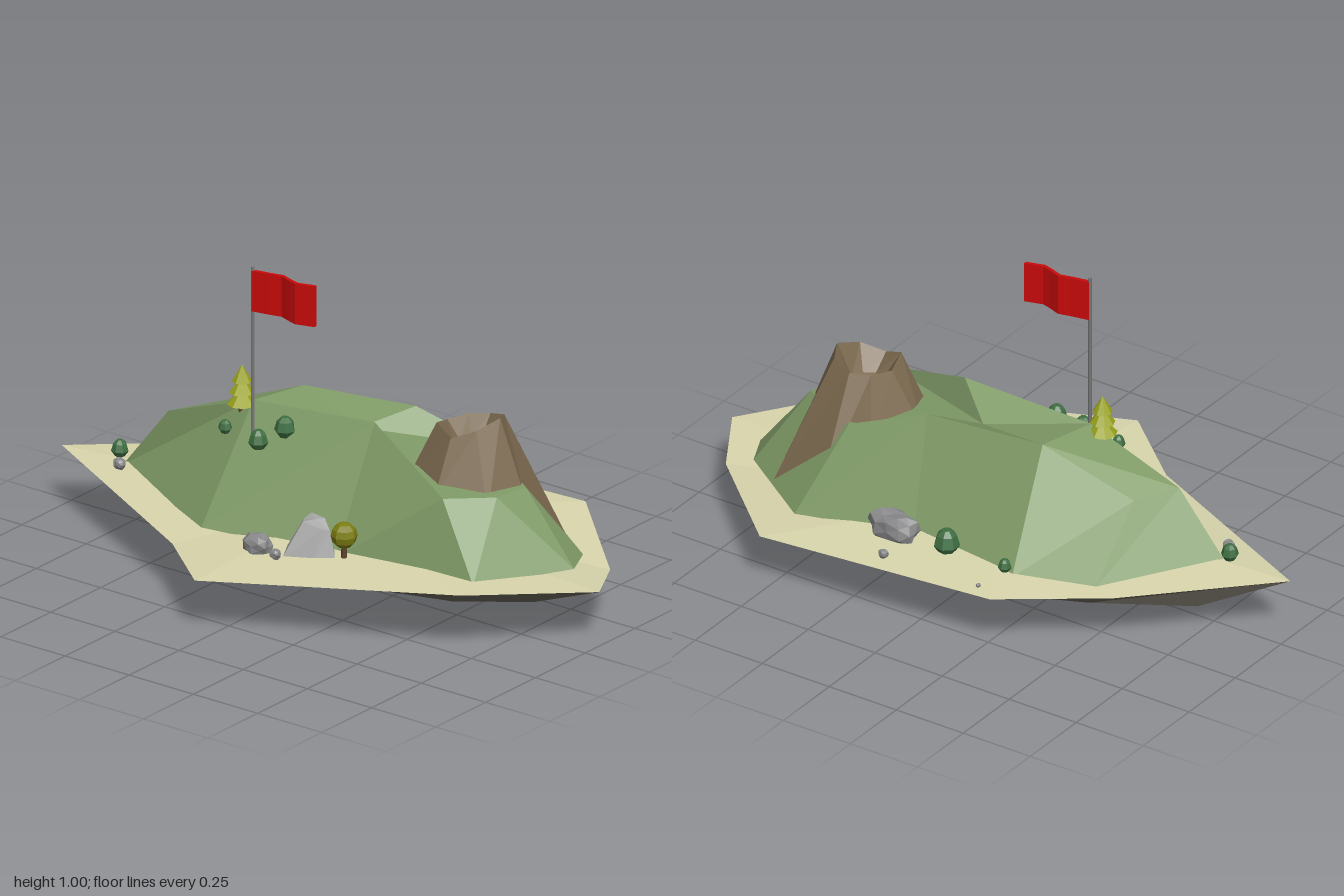
import * as THREE from 'three';

const mat = (color) => new THREE.MeshStandardMaterial({ color, flatShading: true });
const C = {
  earth: mat(0x69665a), sand: mat(0xd8d5ac), grass: mat(0x7f9a66), brown: mat(0x7c6a50),
  stone: mat(0x8a8a8c), paleStone: mat(0xa8a8a8), bush: mat(0x3f6f42), lime: mat(0x9aa31c),
  olive: mat(0x7d7f12), bark: mat(0x5c452e), pole: mat(0x777777), red: mat(0xcc0a0a),
};

function add(parent, name, geo, material, x = 0, y = 0, z = 0) {
  const m = new THREE.Mesh(geo, material);
  m.name = name;
  m.position.set(x, y, z);
  parent.add(m);
  return m;
}

// Faceted surface through a stack of rings (each ring runs left, back, right, front)
function loft(rings, extraTriangles = []) {
  const out = [];
  const tri = (...p) => p.forEach((v) => out.push(...v));
  for (let r = 0; r < rings.length - 1; r++) {
    const b = rings[r], t = rings[r + 1], n = b.length;
    for (let i = 0; i < n; i++) {
      const j = (i + 1) % n;
      tri(b[j], b[i], t[i]);
      tri(b[j], t[i], t[j]);
    }
  }
  extraTriangles.forEach((p) => tri(...p));
  const g = new THREE.BufferGeometry();
  g.setAttribute('position', new THREE.Float32BufferAttribute(out, 3));
  g.computeVertexNormals();
  return g;
}

// Angular boulder: low sphere with a small repeatable dent per corner
function boulder(w, h, d, seed) {
  const g = new THREE.IcosahedronGeometry(1, 1);
  const p = g.attributes.position;
  for (let i = 0; i < p.count; i++) {
    const x = p.getX(i), y = p.getY(i), z = p.getZ(i);
    const k = 0.93 + 0.1 * Math.sin(5 * x + 3 * y + 4 * z + seed);
    p.setXYZ(i, x * k * w, Math.min(y, 0.75) * k * h, z * k * d);
  }
  g.computeVertexNormals();
  return g;
}

export function createModel() {
  const island = new THREE.Group();
  island.name = 'island';

  // Rocky underside and beach
  const shore = [[-1, 0.2, 0.05], [-0.6, 0.19, -0.33], [-0.29, 0.19, -0.55], [0.52, 0.18, -0.62],
    [0.88, 0.155, -0.28], [1, 0.18, -0.07], [0.72, 0.205, 0.26], [-0.04, 0.18, 0.62], [-0.29, 0.17, 0.41]];
  const middle = shore.map(([x, , z]) => [x * 0.72, 0.065, z * 0.45 - 0.07]);
  const bottom = shore.map(([x, , z]) => [x * 0.27, 0, z * 0.14 - 0.06]);
  add(island, 'underside', loft([shore.map(() => [0, 0, -0.06]), bottom, middle, shore]), C.earth);
  add(island, 'beach', loft([shore, shore.map(() => [0, 0.225, -0.05])]), C.sand);

  // Grassy hill with a shallow hollow behind its front ridge
  const foot = [[-0.77, 0.19, 0.04], [-0.52, 0.19, -0.31], [-0.27, 0.19, -0.4], [0.13, 0.19, -0.35],
    [0.5, 0.19, -0.46], [0.79, 0.19, -0.26], [0.84, 0.19, -0.15], [0.68, 0.19, 0.15],
    [0.2, 0.19, 0.22], [-0.27, 0.19, 0.29]];
  const t = [[-0.6, 0.41, 0.03], [-0.52, 0.4, -0.1], [-0.22, 0.53, -0.16], [0.17, 0.54, -0.22],
    [0.42, 0.45, -0.28], [0.66, 0.42, -0.14], [0.64, 0.42, -0.02], [0.53, 0.43, 0.11],
    [0.18, 0.56, 0], [-0.27, 0.53, 0.03]];
  const hollow = [0.05, 0.48, -0.09];
  add(island, 'hill', loft([foot, t], [
    [t[0], t[2], t[1]], [t[0], t[9], t[2]], [t[9], hollow, t[2]], [t[2], hollow, t[3]],
    [t[3], hollow, t[4]], [hollow, t[7], t[4]], [hollow, t[8], t[7]], [hollow, t[9], t[8]],
    [t[4], t[6], t[5]], [t[4], t[7], t[6]],
  ]), C.grass);

  // Volcano with a jagged rim and crater
  const base = [[0.26, 0.38, -0.1], [0.33, 0.38, -0.29], [0.46, 0.25, -0.38], [0.66, 0.2, -0.34],
    [0.67, 0.35, -0.14], [0.62, 0.36, 0], [0.46, 0.4, 0.06], [0.31, 0.42, -0.01]];
  const rim = [[0.37, 0.58, -0.12], [0.4, 0.585, -0.19], [0.46, 0.59, -0.22], [0.53, 0.61, -0.2],
    [0.56, 0.625, -0.14], [0.53, 0.6, -0.06], [0.46, 0.57, -0.02], [0.39, 0.6, -0.04]];
  const floor = rim.map(([x, , z]) => [0.46 + (x - 0.46) * 0.5, 0.52, -0.13 + (z + 0.13) * 0.5]);
  add(island, 'volcano', loft([base, rim, floor, floor.map(() => [0.46, 0.5, -0.13])]), C.brown);

  // Flag: pole and rippled cloth
  const flag = new THREE.Group();
  flag.name = 'flag';
  flag.position.set(-0.225, 0, 0.09);
  island.add(flag);
  add(flag, 'flagPole', new THREE.CylinderGeometry(0.006, 0.006, 0.58, 8), C.pole, 0, 0.715, 0);
  const wave = [[0, 0], [0.06, -0.012], [0.1, -0.022], [0.14, -0.008], [0.17, 0], [0.23, -0.018]];
  const edge = wave.map(([x, z]) => new THREE.Vector2(x, -z + 0.006));
  const backEdge = wave.map(([x, z]) => new THREE.Vector2(x, -z - 0.006)).reverse();
  const cloth = new THREE.ExtrudeGeometry(new THREE.Shape([...edge, ...backEdge]),
    { depth: 0.135, bevelEnabled: false });
  cloth.rotateX(-Math.PI / 2);
  add(flag, 'flagCloth', cloth, C.red, 0, 0.858, 0);

  // Pine tree
  const pine = new THREE.Group();
  pine.name = 'pineTree';
  pine.position.set(-0.31, 0, 0.035);
  island.add(pine);
  add(pine, 'pineTrunk', new THREE.CylinderGeometry(0.01, 0.012, 0.08, 6), C.bark, 0, 0.49, 0);
  [[0.047, 0.51], [0.04, 0.548], [0.032, 0.585]].forEach(([r, y]) =>
    add(pine, 'pineTier', new THREE.ConeGeometry(r, 0.055, 8), C.lime, 0, y + 0.027, 0));

  // Round tree
  const tree = new THREE.Group();
  tree.name = 'roundTree';
  tree.position.set(0.247, 0, 0.24);
  island.add(tree);
  add(tree, 'treeTrunk', new THREE.CylinderGeometry(0.008, 0.01, 0.06, 6), C.bark, 0, 0.225, 0);
  add(tree, 'treeCrown', new THREE.SphereGeometry(0.042, 8, 6), C.olive, 0, 0.28, 0);

  // Bushes: x, y, z, radius
  [[-0.785, 0.24, 0.035, 0.028], [-0.325, 0.45, 0.1, 0.022], [-0.18, 0.45, 0.12, 0.032],
    [-0.115, 0.492, 0.07, 0.034], [-0.02, 0.23, -0.39, 0.042], [-0.24, 0.22, -0.395, 0.022],
  ].forEach(([x, y, z, r]) => {
    const profile = [[0, -1], [0.55, -0.9], [1, -0.25], [0.75, 0.6], [0.35, 1], [0, 1]]
      .map(([a, b]) => new THREE.Vector2(a * r, b * r));
    add(island, 'bush', new THREE.LatheGeometry(profile, 7), C.bush, x, y, z).rotation.y = x * 9;
  });

  // Boulders: x, y, z, width, height, depth (half sizes)
  [[-0.01, 0.22, 0.345, 0.055, 0.045, 0.038], [0.075, 0.215, 0.365, 0.02, 0.02, 0.018],
    [-0.74, 0.22, 0.095, 0.022, 0.022, 0.02], [0.17, 0.225, -0.4, 0.095, 0.065, 0.052],
    [0.12, 0.208, -0.53, 0.018, 0.018, 0.014], [-0.22, 0.198, -0.51, 0.008, 0.008, 0.008],
  ].forEach(([x, y, z, w, h, d], i) => add(island, 'boulder', boulder(w, h, d, i), C.stone, x, y, z));

  // Large pale rock with a sloping top
  const rockFoot = [[0.04, 0.19, 0.27], [0.08, 0.19, 0.21], [0.2, 0.19, 0.22], [0.23, 0.19, 0.26],
    [0.17, 0.19, 0.3], [0.08, 0.19, 0.34]];
  const rockTop = [[0.09, 0.295, 0.24], [0.1, 0.31, 0.215], [0.16, 0.31, 0.225], [0.2, 0.285, 0.25],
    [0.18, 0.29, 0.265], [0.11, 0.3, 0.27]];
  add(island, 'paleRock', loft([rockFoot, rockTop, rockTop.map(() => [0.14, 0.308, 0.245])]), C.paleStone);

  return island;
}
